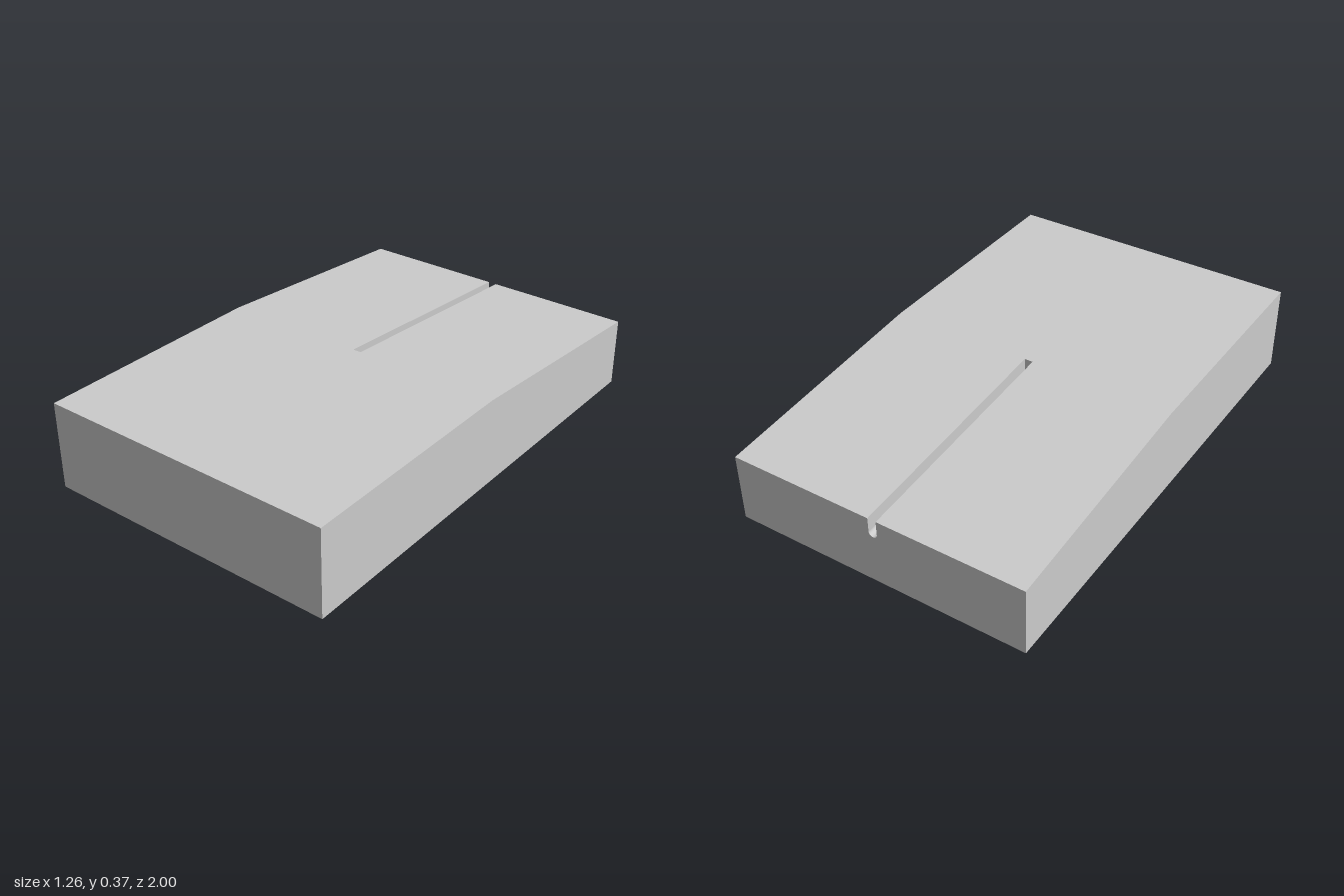
import * as THREE from 'three';

const HALF_W = 0.63, TOP = 0.368, DROP = 0.077;
const GROOVE_R = 0.018, GROOVE_DEPTH = 0.08;

export function createModel() {
  const group = new THREE.Group();
  const material = new THREE.MeshStandardMaterial({ color: 0xcccccc, flatShading: true });

  // Level front half; its rear face closes the end of the groove
  const front = new THREE.Mesh(new THREE.BoxGeometry(2 * HALF_W, TOP, 1), material);
  front.position.set(0, TOP / 2, 0.5);
  front.name = 'levelBlock';
  group.add(front);

  // Rear half: cross-section with a round-bottomed groove in the top
  const section = new THREE.Shape();
  section.moveTo(-HALF_W, 0);
  section.lineTo(HALF_W, 0);
  section.lineTo(HALF_W, TOP);
  section.lineTo(GROOVE_R, TOP);
  section.absarc(0, TOP - GROOVE_DEPTH + GROOVE_R, GROOVE_R, 0, Math.PI, true);
  section.lineTo(-GROOVE_R, TOP);
  section.lineTo(-HALF_W, TOP);
  section.closePath();
  const geometry = new THREE.ExtrudeGeometry(section, { depth: 1, bevelEnabled: false, curveSegments: 12 });
  geometry.translate(0, 0, -1);

  // Slope the top and the groove down toward the back
  const pos = geometry.attributes.position;
  for (let i = 0; i < pos.count; i++) {
    if (pos.getY(i) > 0.1) pos.setY(i, pos.getY(i) + DROP * pos.getZ(i));
  }
  geometry.computeVertexNormals();
  const rear = new THREE.Mesh(geometry, material);
  rear.name = 'slopedGroovedBlock';
  group.add(rear);

  return group;
}
